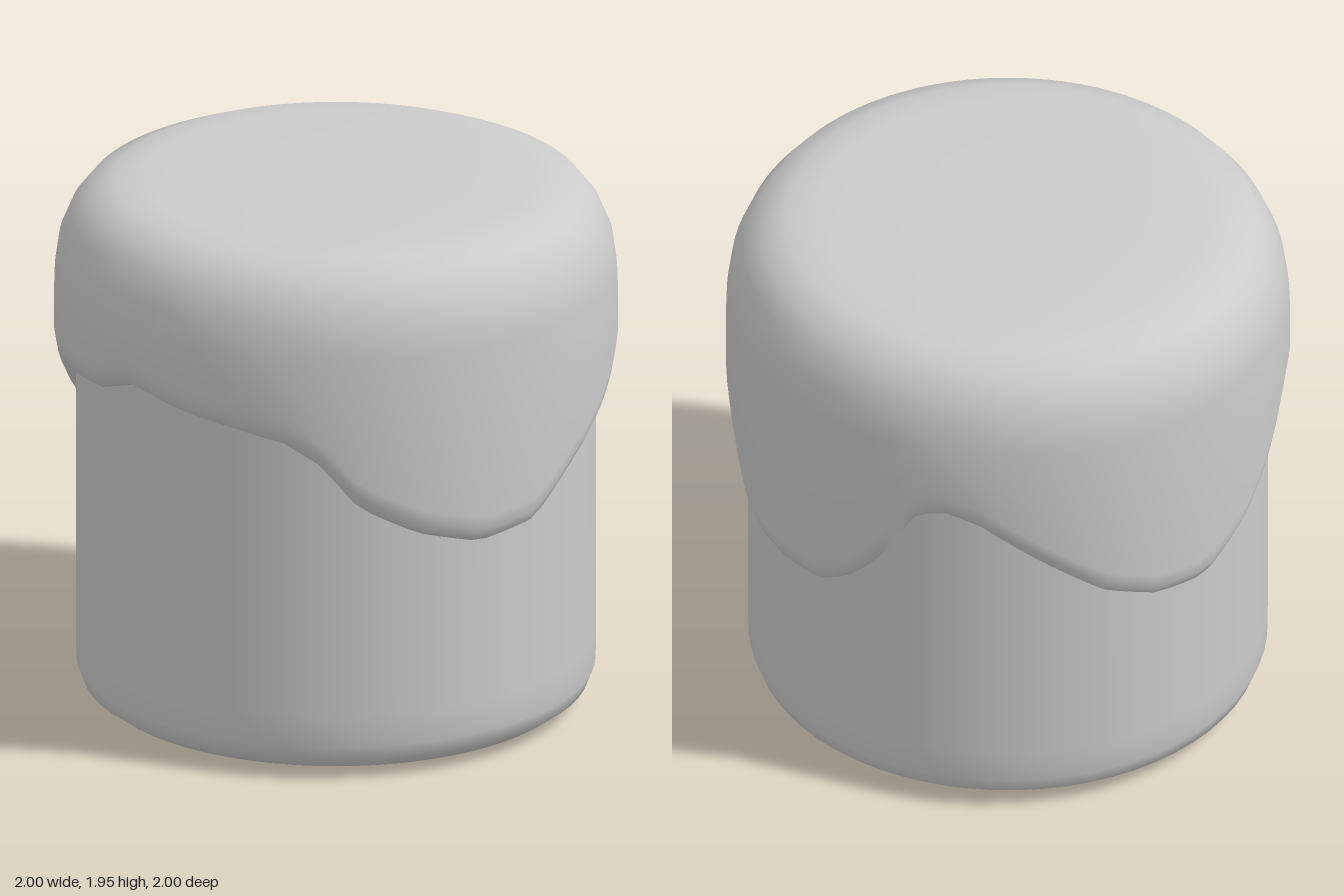
import * as THREE from 'three';

const grey = () => new THREE.MeshStandardMaterial({ color: 0xcccccc });

// Height of the dripping edge by angle in degrees (0 = front, 90 = +x)
const drip = [
  [0, 1.29], [8, 1.21], [16, 1.05], [29, 0.94], [43, 0.875], [57, 0.9], [69, 1.04], [82, 1.15],
  [93, 1.25], [101, 1.3], [109, 1.26], [121, 1.13], [126, 1.03], [131, 0.93], [138, 0.87],
  [147, 0.855], [158, 0.865], [166, 0.95], [174, 1.1], [180, 1.28], [186, 1.33], [194, 1.29],
  [207, 1.13], [221, 0.96], [233, 0.88], [246, 0.86], [259, 0.97], [270, 1.13], [280, 1.29],
  [296, 1.31], [311, 1.33], [323, 1.4], [335, 1.36], [348, 1.33], [360, 1.29],
];

function dripHeight(deg) {
  const k = drip.findIndex((p, i) => i > 0 && deg <= p[0]);
  const [a, ya] = drip[k - 1], [b, yb] = drip[k];
  return THREE.MathUtils.mapLinear(deg, a, b, ya, yb);
}

// Rounded icing: fixed top profile, then a wall and rolled lip that follow the drip line
function icingGeometry(cols = 96) {
  const top = [[0, 1.95], [0.4, 1.95], [0.68, 1.945], [0.79, 1.933], [0.88, 1.895], [0.94, 1.82],
    [0.978, 1.73], [0.994, 1.62]];
  const lip = [[0.998, 0.1], [0.99, 0.05], [0.972, 0.012], [0.952, 0], [0.925, 0.012], [0.9, 0.03]];
  const rows = top.length + 1 + lip.length;
  const pos = [], index = [];

  for (let i = 0; i < cols; i++) {
    const deg = (i / cols) * 360, t = THREE.MathUtils.degToRad(deg), edge = dripHeight(deg);
    const profile = [...top, [0.998, (1.62 + edge + 0.1) / 2], ...lip.map(([r, dy]) => [r, edge + dy])];
    for (const [r, y] of profile) pos.push(r * Math.sin(t), y, r * Math.cos(t));

    const next = (i + 1) % cols;
    for (let j = 0; j < rows - 1; j++) {
      const a = i * rows + j, c = next * rows + j;
      if (j > 0) index.push(a, a + 1, c);
      index.push(c, a + 1, c + 1);
    }
  }
  const geo = new THREE.BufferGeometry();
  geo.setAttribute('position', new THREE.Float32BufferAttribute(pos, 3));
  geo.setIndex(index);
  geo.computeVertexNormals();
  return geo;
}

export function createModel() {
  const group = new THREE.Group();

  // Cylindrical body with a softly rounded foot
  const profile = [[0, 0.005], [0.6, 0.01], [0.76, 0.02], [0.84, 0.035], [0.895, 0.075],
    [0.918, 0.135], [0.92, 0.25], [0.92, 1.6]].map(([r, y]) => new THREE.Vector2(r, y));
  const body = new THREE.Mesh(new THREE.LatheGeometry(profile, 64), grey());
  body.name = 'body';

  const icing = new THREE.Mesh(icingGeometry(), grey());
  icing.name = 'drippingIcing';

  group.add(body, icing);
  return group;
}
